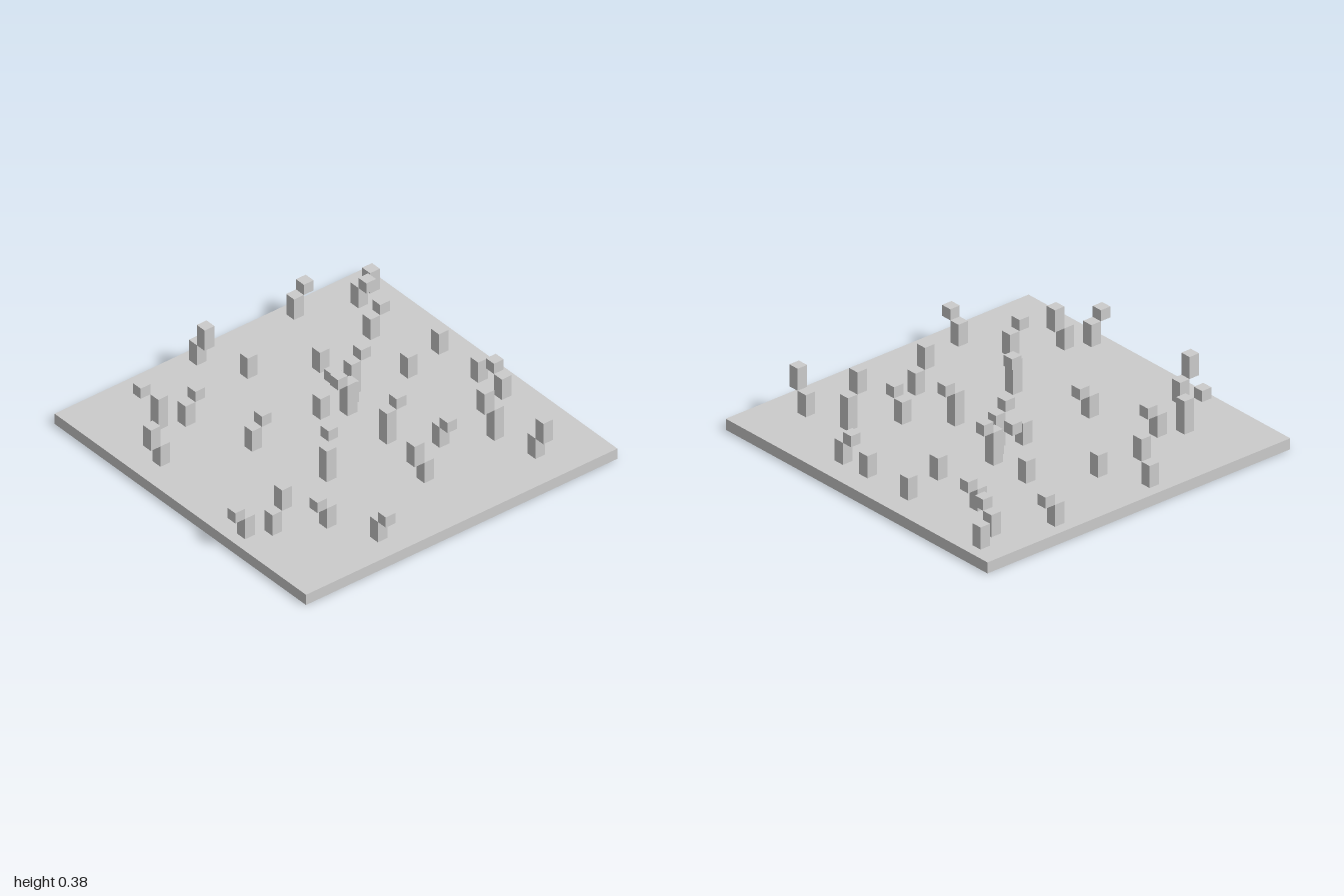
import * as THREE from 'three';

const N = 32;          // cells along each side of the board
const U = 2 / N;       // size of one cell

// Post and cap heights in cells, then [column, row, cap column step, cap row step].
// Each cap starts level with the top of its post, one cell to the side.
const KINDS = [
  { post: 2, cap: 0, at: [[15, 5], [30, 2], [16, 13], [20, 8], [25, 13], [29, 12], [29, 17]] },
  { post: 2, cap: 1, at: [
    [23, 1, 1, 0], [28, 3, 0, 1], [7, 7, 1, 0], [26, 7, 1, 0], [9, 13, 1, 0], [19, 13, -1, -1],
    [29, 20, 0, -1], [1, 22, -1, 0], [7, 25, -1, 0], [21, 22, 0, 1], [9, 29, 0, 1],
  ] },
  { post: 2, cap: 2, at: [[13, 1, 0, 1], [2, 10, -1, 0], [3, 23, 1, 0], [17, 25, -1, 0], [26, 28, 0, 1]] },
  { post: 3, cap: 1, at: [[5, 6, -1, -1], [18, 14, -1, 0], [20, 12, 1, 0], [11, 20, 1, -1], [18, 19, 1, 0]] },
  { post: 3, cap: 2, at: [[25, 24, -1, 0]] },
];

export function createModel() {
  const group = new THREE.Group();
  const material = new THREE.MeshStandardMaterial({ color: 0xcccccc, flatShading: true });

  // Box standing on a cell, with its underside `base` cells above the board
  const addBlock = (name, i, j, base, height) => {
    const mesh = new THREE.Mesh(new THREE.BoxGeometry(U, height * U, U), material);
    mesh.name = name;
    mesh.position.set((i + 0.5) * U - 1, (1 + base + height / 2) * U, (j + 0.5) * U - 1);
    group.add(mesh);
  };

  // Flat square board
  const board = new THREE.Mesh(new THREE.BoxGeometry(2, U, 2), material);
  board.name = 'board';
  board.position.y = U / 2;
  group.add(board);

  // Scattered posts with their offset caps
  for (const { post, cap, at } of KINDS) {
    for (const [i, j, di, dj] of at) {
      addBlock('post', i, j, 0, post);
      if (cap) addBlock('cap', i + di, j + dj, post, cap);
    }
  }
  return group;
}
